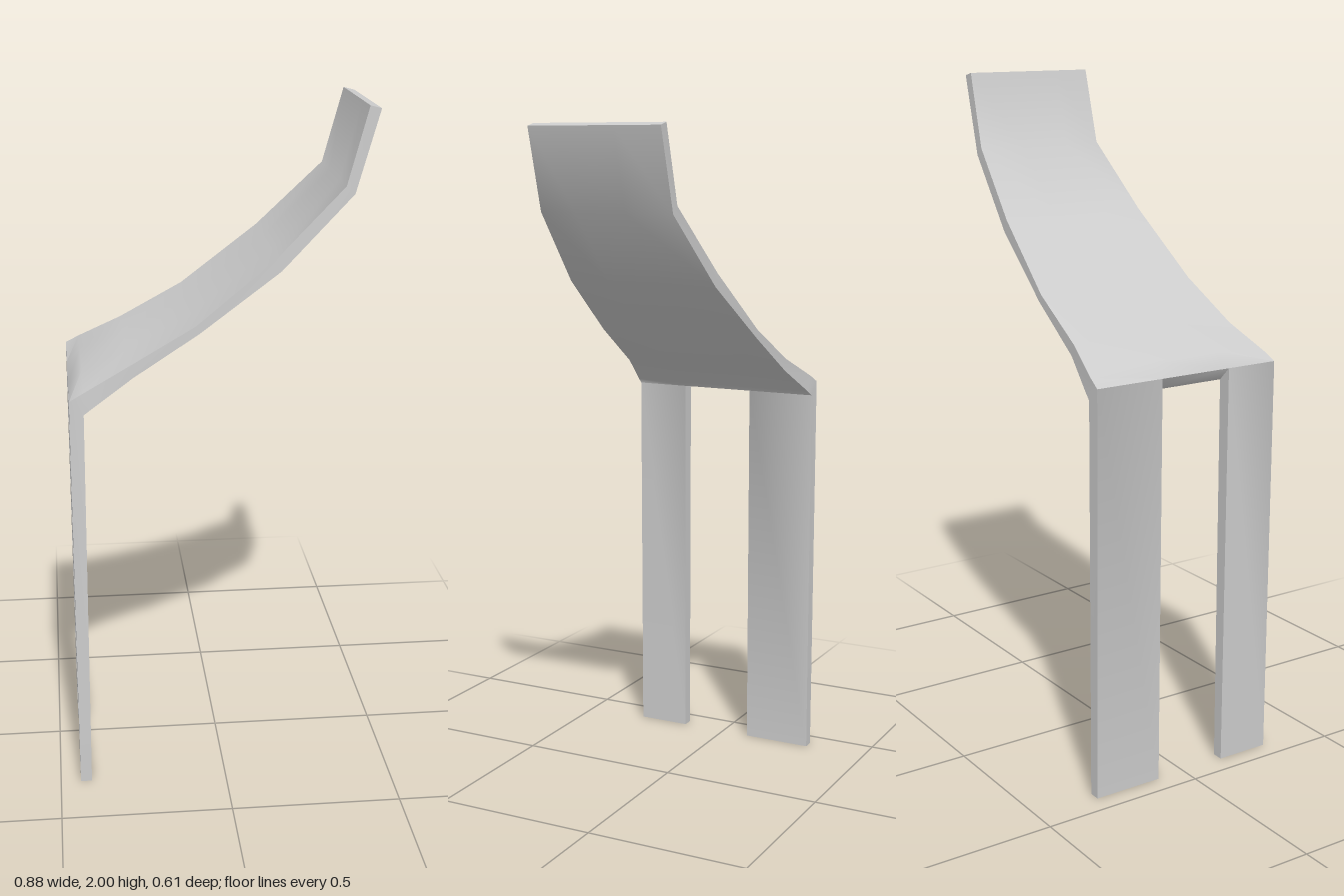
import * as THREE from 'three';
import { toCreasedNormals, mergeGeometries } from 'three/addons/utils/BufferGeometryUtils.js';

// Columns across the sheet as fractions of its half width; the inner two line up with the legs.
const COLUMNS = [1, 0.46, -0.295, -1];
const HALF = 0.304;

// Each station: outer face [x, y], inner face [x, y], half width, bulge of the middle columns.
const SHEET = [
  [[-0.44, 1.21], [-0.40, 1.17], 0.304, 0],
  [[-0.40, 1.232], [-0.375, 1.187], 0.299, 0.018],
  [[-0.27, 1.298], [-0.26, 1.263], 0.271, 0.008],
  [[-0.08, 1.405], [-0.07, 1.383], 0.259, 0],
  [[0.15, 1.588], [0.163, 1.55], 0.235, 0],
  [[0.345, 1.78], [0.37, 1.758], 0.207, 0],
  [[0.405, 2.0], [0.437, 1.992], 0.205, 0],
];
const LEG = [
  [[-0.44, 0], [-0.407, 0], HALF, 0],
  [[-0.44, 1.21], [-0.40, 1.17], HALF, 0],
];

// Skins a closed slab from stations, using the given columns.
function slab(stations, columns) {
  const n = columns.length, ring = n * 2, pos = [], index = [];
  for (const [outer, inner, half, bulge] of stations) {
    for (const u of columns) {
      pos.push(outer[0], outer[1] + (Math.abs(u) < 1 ? bulge : 0), u * half);
    }
    for (const u of [...columns].reverse()) pos.push(inner[0], inner[1], u * half);
  }
  for (let s = 0; s < stations.length - 1; s++) {
    for (let i = 0; i < ring; i++) {
      const j = (i + 1) % ring;
      const a = s * ring + i, b = s * ring + j, c = a + ring, d = b + ring;
      index.push(a, c, d, a, d, b);
    }
  }
  // End caps
  const last = (stations.length - 1) * ring;
  for (let i = 0; i < n - 1; i++) {
    const p = i, q = i + 1, r = ring - 2 - i, t = ring - 1 - i;
    index.push(p, q, r, p, r, t);
    index.push(last + p, last + r, last + q, last + p, last + t, last + r);
  }
  const geometry = new THREE.BufferGeometry();
  geometry.setAttribute('position', new THREE.Float32BufferAttribute(pos, 3));
  geometry.setIndex(index);
  return geometry;
}

export function createModel() {
  const group = new THREE.Group();
  group.name = 'bentSheetStand';
  const material = new THREE.MeshStandardMaterial({ color: 0xcccccc });

  // One bent sheet: sloping top and two legs mitred into its lower edge
  const parts = [
    slab(SHEET, COLUMNS),
    slab(LEG, COLUMNS.slice(0, 2)),
    slab(LEG, COLUMNS.slice(2)),
  ];
  const sheet = new THREE.Mesh(toCreasedNormals(mergeGeometries(parts), 1.0), material);
  sheet.name = 'curvedSheetWithLegs';
  group.add(sheet);
  return group;
}
